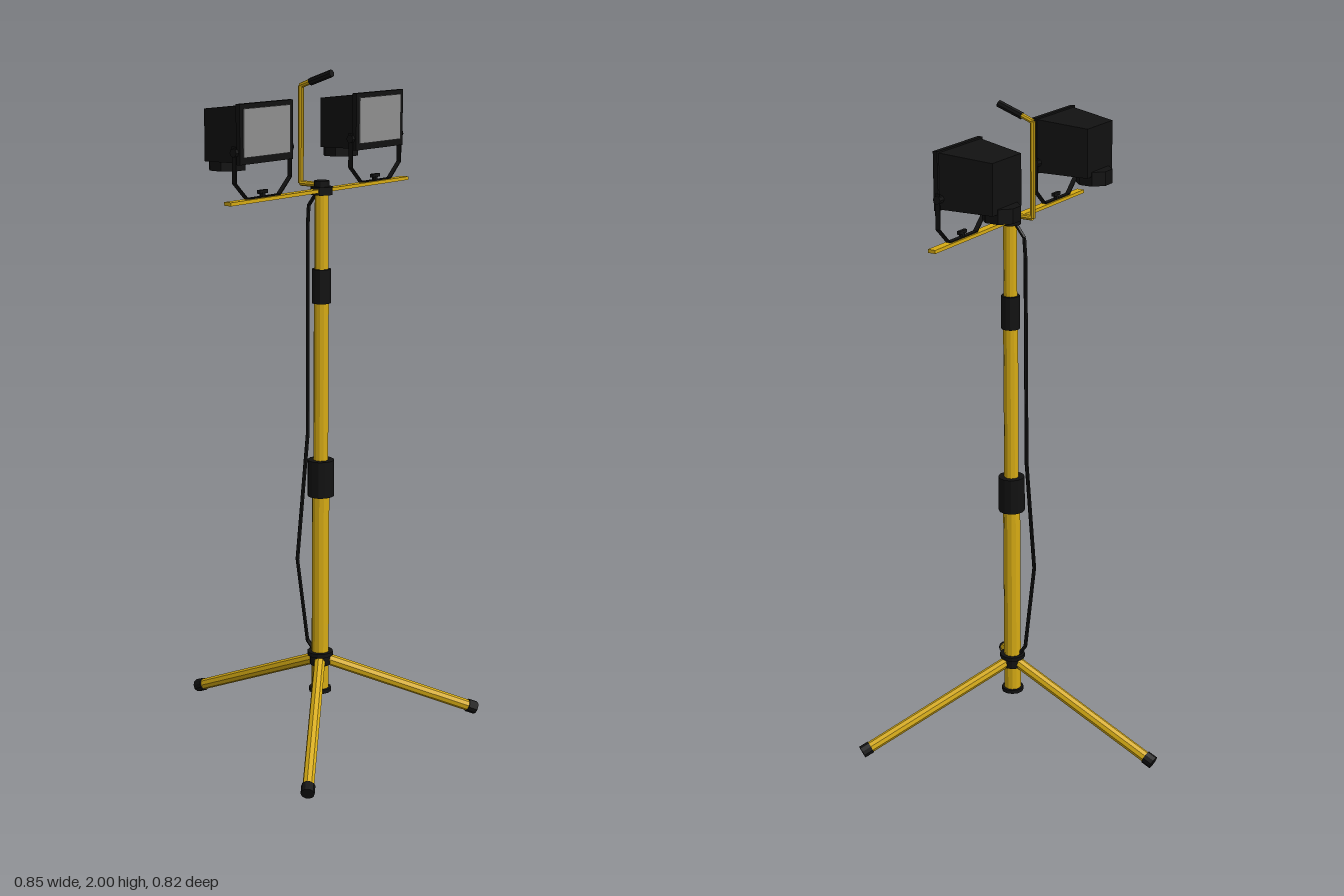
import * as THREE from 'three';

const mat = (name, color, extra = {}) =>
  Object.assign(new THREE.MeshStandardMaterial({ color, flatShading: true, ...extra }), { name });

export function createModel() {
  const yellow = mat('yellow paint', 0xd6ab14);
  const black = mat('black plastic', 0x111111);
  const glass = mat('grey glass', 0x8e8e8e);
  const model = new THREE.Group();
  model.name = 'workLightStand';
  const V = (x, y, z) => new THREE.Vector3(x, y, z);
  const POLE_Z = 0.1;

  const add = (parent, name, geo, material, x = 0, y = 0, z = 0) => {
    const mesh = new THREE.Mesh(geo, material);
    mesh.name = name;
    mesh.position.set(x, y, z);
    parent.add(mesh);
    return mesh;
  };
  const box = (parent, name, w, h, d, material, x, y, z) =>
    add(parent, name, new THREE.BoxGeometry(w, h, d), material, x, y, z);
  // Round bar between two points
  const rod = (parent, name, a, b, r, material, sides = 8) => {
    const d = b.clone().sub(a);
    const mesh = add(parent, name, new THREE.CylinderGeometry(r, r, d.length(), sides), material);
    mesh.position.copy(a).add(b).multiplyScalar(0.5);
    mesh.quaternion.setFromUnitVectors(V(0, 1, 0), d.normalize());
    return mesh;
  };
  // Upright cylinder on the pole axis
  const column = (name, y0, y1, r, material, sides = 12) =>
    add(model, name, new THREE.CylinderGeometry(r, r, y1 - y0, sides), material, 0, (y0 + y1) / 2, POLE_Z);

  // Telescopic pole with its collars
  column('lowerPole', 0.14, 0.8, 0.026, yellow);
  column('middlePole', 0.8, 1.38, 0.022, yellow);
  column('upperPole', 1.38, 1.65, 0.02, yellow);
  column('poleFoot', 0.134, 0.146, 0.034, black);
  column('lowerCollar', 0.75, 0.86, 0.04, black);
  column('upperCollar', 1.33, 1.43, 0.028, black);
  column('legHub', 0.22, 0.25, 0.031, black);
  column('legHubRim', 0.25, 0.262, 0.039, black);
  column('topFlange', 1.645, 1.668, 0.032, black);
  column('topCap', 1.668, 1.685, 0.022, black);

  // Three legs with end caps
  for (const foot of [V(0.412, 0.023, 0.39), V(-0.412, 0.023, 0.39), V(0, 0.021, -0.405)]) {
    const start = V(0, 0.243, POLE_Z);
    const dir = foot.clone().sub(start).normalize();
    start.addScaledVector(dir, 0.015);
    rod(model, 'leg', start, foot.clone().addScaledVector(dir, -0.01), 0.017, yellow);
    rod(model, 'legCap', foot.clone().addScaledVector(dir, -0.03), foot, 0.02, black, 10);
  }

  // Crossbar
  box(model, 'crossbar', 0.805, 0.01, 0.024, yellow, -0.002, 1.657, POLE_Z);

  // Carrying handle
  const handle = new THREE.Group();
  handle.name = 'handle';
  model.add(handle);
  const bends = [V(0, 1.672, 0.09), V(0, 1.672, 0.023), V(0, 1.95, 0.023), V(0, 1.966, 0.065)];
  for (let i = 0; i < 3; i++) rod(handle, 'handleRod', bends[i], bends[i + 1], 0.008, yellow);
  rod(handle, 'handleGrip', V(0, 1.962, 0.058), V(0, 1.989, 0.135), 0.011, black);

  // Power cable hanging behind the pole
  const cable = [V(0, 1.66, 0.09), V(0, 1.61, 0.052), V(0.003, 1.55, 0.046), V(0.015, 0.92, 0.037),
    V(-0.043, 0.55, 0.046), V(-0.012, 0.29, 0.06), V(0, 0.25, 0.085)];
  for (let i = 0; i < cable.length - 1; i++) rod(model, 'cable', cable[i], cable[i + 1], 0.006, black, 6);

  // Floodlights
  for (const cx of [-0.259, 0.25]) {
    const lamp = new THREE.Group();
    lamp.name = 'floodlight';
    lamp.position.x = cx;
    model.add(lamp);

    // Housing tapers to the back
    const shell = new THREE.BoxGeometry(0.212, 0.156, 0.155);
    const p = shell.attributes.position;
    for (let i = 0; i < p.count; i++) {
      if (p.getZ(i) < 0) p.setXY(i, p.getX(i) * 0.69, p.getY(i) > 0 ? 0.06 : -0.085);
    }
    shell.computeVertexNormals();
    add(lamp, 'housing', shell, black, 0, 1.842, 0.029);
    box(lamp, 'frontFrame', 0.224, 0.164, 0.014, black, 0, 1.842, 0.109);
    box(lamp, 'glass', 0.196, 0.132, 0.004, glass, 0, 1.845, 0.117);

    // Junction box under the housing
    const junction = new THREE.CylinderGeometry(0.054, 0.054, 0.042, 8);
    junction.rotateY(Math.PI / 8);
    add(lamp, 'junctionBox', junction, black, 0, 1.75, -0.03);

    // Bent strap bracket and its fixings
    const strap = [V(-0.117, 1.81, POLE_Z), V(-0.117, 1.71, POLE_Z), V(-0.068, 1.664, POLE_Z),
      V(0.068, 1.664, POLE_Z), V(0.117, 1.71, POLE_Z), V(0.117, 1.81, POLE_Z)];
    for (let i = 0; i < strap.length - 1; i++) {
      const d = strap[i + 1].clone().sub(strap[i]);
      const mid = strap[i].clone().addScaledVector(d, 0.5);
      const bar = box(lamp, 'bracket', d.length(), 0.003, 0.015, black, mid.x, mid.y, mid.z);
      bar.rotation.z = Math.atan2(d.y, d.x);
    }
    for (const s of [-1, 1]) {
      rod(lamp, 'sideBolt', V(s * 0.1, 1.793, POLE_Z), V(s * 0.122, 1.793, POLE_Z), 0.012, black);
    }
    rod(lamp, 'wingNutStem', V(0, 1.66, POLE_Z), V(0, 1.676, POLE_Z), 0.008, black);
    box(lamp, 'wingNut', 0.034, 0.01, 0.01, black, 0, 1.678, POLE_Z);
  }
  return model;
}
